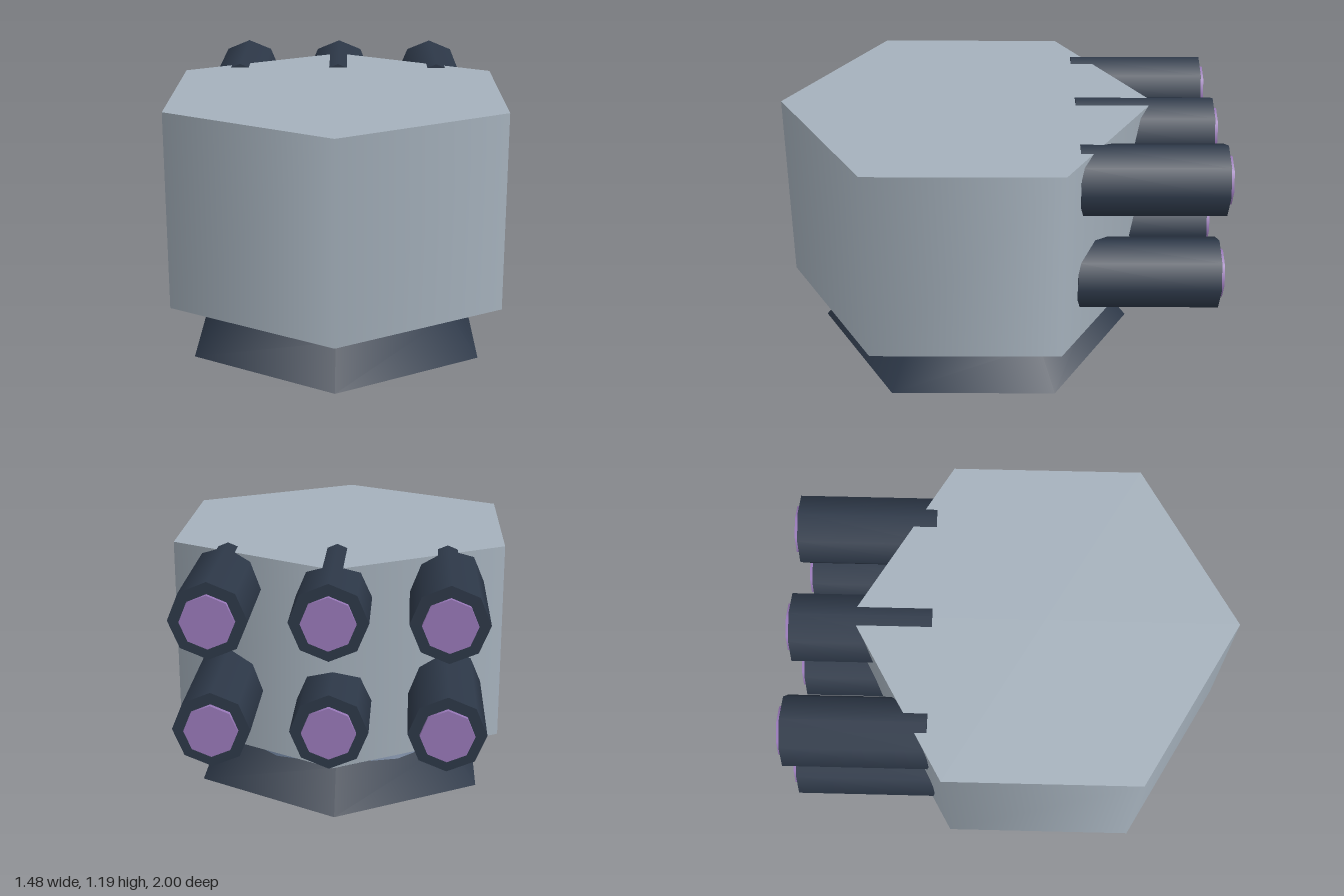
import * as THREE from 'three';

const paint = (color) => new THREE.MeshStandardMaterial({ color });

export function createModel() {
  const model = new THREE.Group();
  const dark = paint(0x2d3848);
  const steel = paint(0xa5b1bc);
  const blue = paint(0x667790);
  const violet = paint(0x9878b8);

  // upright prism or frustum between two heights, with a corner facing +z
  function prism(name, rTop, rBottom, y0, y1, z, sides, material) {
    const mesh = new THREE.Mesh(new THREE.CylinderGeometry(rTop, rBottom, y1 - y0, sides), material);
    mesh.name = name;
    mesh.position.set(0, (y0 + y1) / 2, z);
    model.add(mesh);
  }

  // foot, collar and housing, stacked
  prism('base', 0.61, 0.75, 0, 0.18, 0.115, 6, dark);
  prism('collar', 0.515, 0.56, 0.178, 0.29, 0.112, 12, blue);
  prism('housing', 0.855, 0.855, 0.275, 1.175, 0.146, 6, steel);

  // eight-sided rod lying along z, with a corner on top
  function rod(name, radius, z0, z1, material) {
    const geometry = new THREE.CylinderGeometry(radius, radius, z0 - z1, 8).rotateX(-Math.PI / 2);
    const mesh = new THREE.Mesh(geometry, material);
    mesh.name = name;
    mesh.position.z = (z0 + z1) / 2;
    return mesh;
  }

  // two rows of three barrels pointing backwards, each with a coloured tip
  for (const y of [0.56, 1.03]) {
    for (const x of [-0.485, 0, 0.485]) {
      const barrel = new THREE.Group();
      barrel.name = 'barrel';
      barrel.add(rod('barrelTube', 0.163, -0.35, -0.98, dark));
      barrel.add(rod('barrelTip', 0.113, -0.9, -1, violet));
      barrel.position.set(x, y, 0);
      model.add(barrel);
    }
  }
  return model;
}
